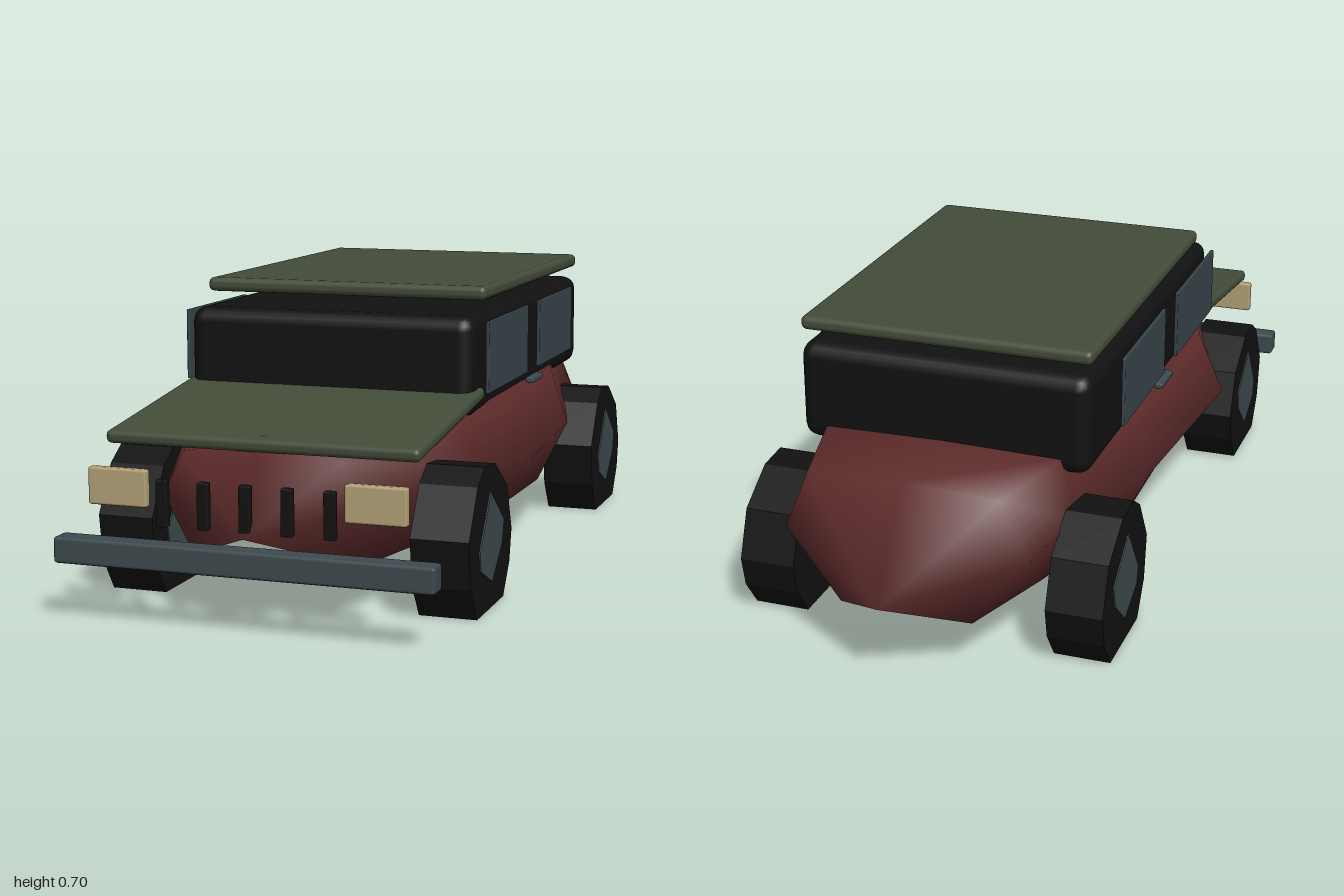
import * as THREE from 'three';
import { mergeVertices } from 'three/addons/utils/BufferGeometryUtils.js';
import { RoundedBoxGeometry } from 'three/addons/geometries/RoundedBoxGeometry.js';

function material(name, color, extra = {}) {
  const m = new THREE.MeshStandardMaterial({ color, ...extra });
  m.name = name;
  return m;
}

// Pointed hull lofted through mirrored cross-sections, with a hollowed underside
function hullGeometry() {
  // z, top centre y, shoulder x y, widest x y, lower rim x y
  const sections = [
    [0.97, 0.21, 0, 0.21, 0, 0.21, 0, 0.21],
    [0.85, 0.415, 0.19, 0.37, 0.24, 0.27, 0.2, 0.12],
    [0.45, 0.43, 0.33, 0.41, 0.37, 0.29, 0.27, 0.12],
    [0.28, 0.44, 0.385, 0.425, 0.45, 0.28, 0.32, 0.12],
    [-0.28, 0.44, 0.36, 0.43, 0.41, 0.28, 0.33, 0.12],
    [-0.6, 0.445, 0.29, 0.44, 0.325, 0.29, 0.24, 0.12],
    [-0.84, 0.445, 0.23, 0.435, 0.29, 0.29, 0.16, 0.12],
    [-1, 0.21, 0, 0.21, 0, 0.21, 0, 0.21],
  ];
  const n = 8;
  const positions = [];
  const index = [];
  sections.forEach(([z, top, sx, sy, wx, wy, rx, ry], i) => {
    // the lower rim reaches less far than the shoulders at the nose
    const rz = i === 1 ? 0.78 : z;
    positions.push(
      0, 0.21, z, rx, ry, rz, wx, wy, z, sx, sy, z,
      0, top, z, -sx, sy, z, -wx, wy, z, -rx, ry, rz);
    if (i === sections.length - 1) return;
    for (let j = 0; j < n; j++) {
      const a = i * n + j, b = i * n + (j + 1) % n, c = a + n, d = b + n;
      index.push(a, c, b, b, c, d);
    }
  });
  let g = new THREE.BufferGeometry();
  g.setAttribute('position', new THREE.Float32BufferAttribute(positions, 3));
  g.setIndex(index);
  g = mergeVertices(g, 1e-4);
  g.computeVertexNormals();
  return g;
}

// Faceted disc along x, centred, from a side outline
function disc(outline, width) {
  const shape = new THREE.Shape(outline.map(([u, v]) => new THREE.Vector2(u, v)));
  const g = new THREE.ExtrudeGeometry(shape, { depth: width, bevelEnabled: false });
  g.translate(0, 0, -width / 2);
  g.rotateY(Math.PI / 2);
  return g;
}

export function createModel() {
  const group = new THREE.Group();
  const red = material('oxide red', 0x5c2a2a, { side: THREE.DoubleSide });
  const green = material('olive green', 0x434c39);
  const black = material('black', 0x111111);
  const steel = material('steel', 0x3d4a4e);
  const glass = material('glass', 0x37444a);
  const cream = material('lamp cream', 0xb3a276);

  const add = (name, geometry, mat, x = 0, y = 0, z = 0) => {
    const mesh = new THREE.Mesh(geometry, mat);
    mesh.name = name;
    mesh.position.set(x, y, z);
    group.add(mesh);
    return mesh;
  };
  const box = (name, mat, w, h, d, x, y, z, r = 0.004, seg = 1) =>
    add(name, new RoundedBoxGeometry(w, h, d, seg, r), mat, x, y, z);

  add('body', hullGeometry(), red);

  // Cabin with a floating roof panel above it
  box('cabin', black, 0.71, 0.24, 1.05, 0, 0.52, -0.08, 0.035, 2);
  box('roof', green, 0.71, 0.034, 0.925, 0, 0.684, -0.128, 0.014, 2);

  // Sloping bonnet
  const bonnet = box('bonnet', green, 0.735, 0.03, 0.51, 0, 0.426, 0.625, 0.012, 2);
  bonnet.rotation.x = 0.122;

  // Front end
  box('bumper', steel, 0.88, 0.06, 0.055, 0, 0.16, 0.972, 0.008);
  for (let i = -2; i <= 2; i++) {
    box('grilleSlat', black, 0.026, 0.105, 0.02, i * 0.097, 0.273, 0.953, 0.003);
  }

  // Side outlines of tyre and hub
  const tyre = disc([
    [-0.109, 0], [0.109, 0], [0.161, 0.072], [0.177, 0.147], [0.134, 0.26],
    [0.03, 0.328], [-0.055, 0.335], [-0.11, 0.3], [-0.177, 0.19], [-0.161, 0.08],
  ], 0.135);
  const hub = disc([
    [-0.088, 0.105], [0.005, 0.06], [0.086, 0.133], [0.1, 0.185],
    [-0.012, 0.27], [-0.098, 0.147],
  ], 0.141);

  for (const s of [1, -1]) {
    box('headlight', cream, 0.14, 0.084, 0.024, s * 0.298, 0.303, 0.953, 0.006);
    // Side windows and door handles
    box('frontWindow', glass, 0.009, 0.17, 0.36, s * 0.379, 0.543, 0.22, 0.003);
    box('rearWindow', glass, 0.009, 0.17, 0.35, s * 0.379, 0.543, -0.247, 0.003);
    box('doorHandle', steel, 0.022, 0.016, 0.1, s * 0.376, 0.432, -0.052, 0.005);
    for (const z of [0.59, -0.6]) {
      add('tyre', tyre, black, s * 0.377, 0, z);
      add('hub', hub, steel, s * 0.377, 0, z);
    }
  }
  return group;
}
